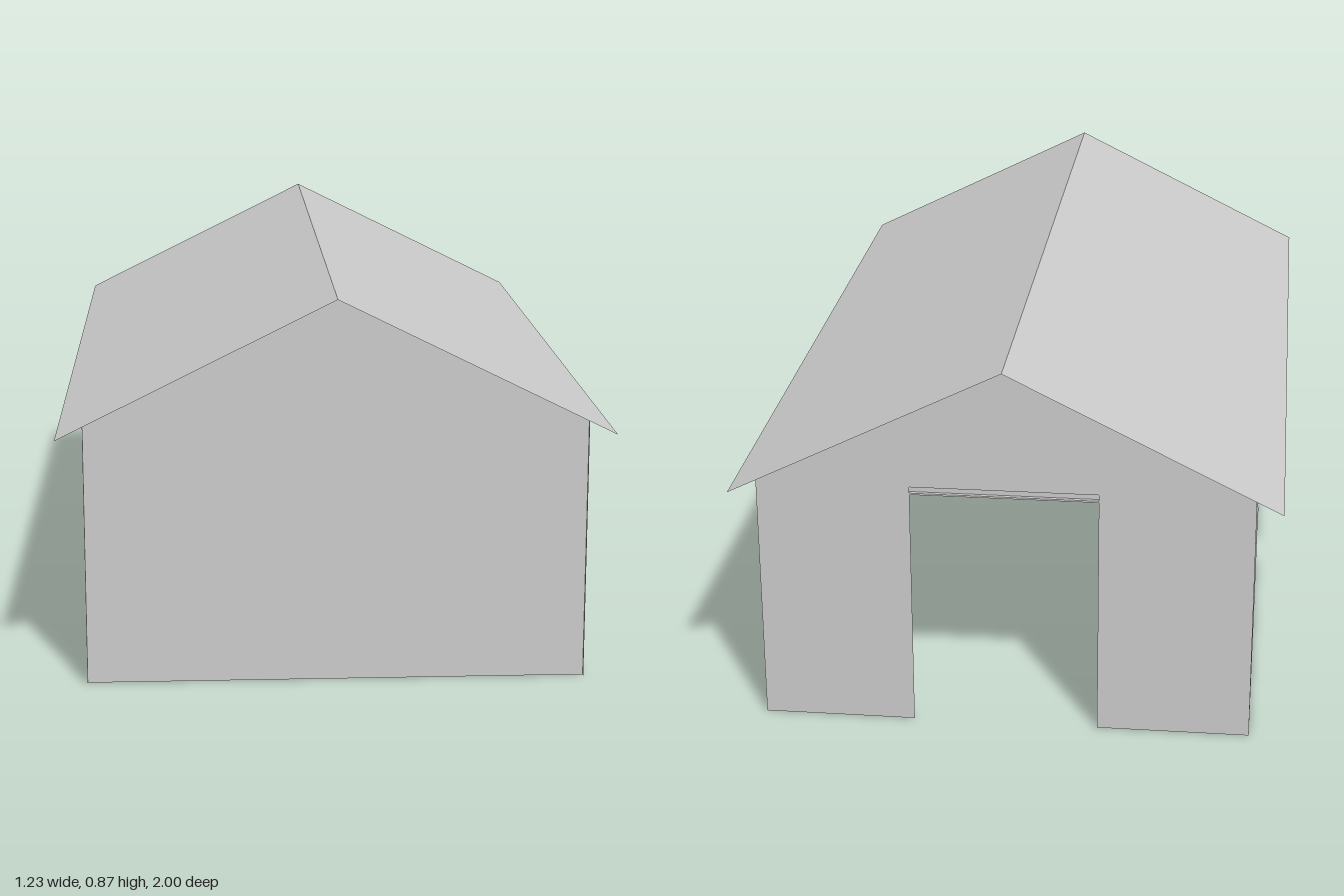
import * as THREE from 'three';

const HALF_W = 0.555, RIDGE = 0.865, SLOPE = 0.496;
const ROOF_X = 0.615, FRONT_Z = 0.975, BACK_Z = -0.975;
const EAVE = RIDGE - SLOPE * HALF_W;

const sheet = new THREE.MeshStandardMaterial({ color: 0xcccccc, side: THREE.DoubleSide });
const steel = new THREE.MeshStandardMaterial({ color: 0xcccccc, flatShading: true });

function panel(name, points) {
  const shape = new THREE.Shape(points.map(([x, y]) => new THREE.Vector2(x, y)));
  const mesh = new THREE.Mesh(new THREE.ShapeGeometry(shape), sheet);
  mesh.name = name;
  return mesh;
}

// Side wall outlined in (z, y), with a doorway notched into its foot
function sideWall(name, x, doorStart, doorEnd) {
  const wall = panel(name, [
    [BACK_Z, 0], [doorStart, 0], [doorStart, 0.285], [doorEnd, 0.285], [doorEnd, 0],
    [0.985, 0], [0.985, EAVE], [BACK_Z, EAVE],
  ]);
  wall.geometry.rotateY(-Math.PI / 2);
  wall.position.x = x;
  return wall;
}

// I-section member running between two points of a frame's plane
function beam(name, x1, y1, x2, y2) {
  const w = 0.011, h = 0.013, flange = 0.004, web = 0.002;
  const half = [[-w, -h], [w, -h], [w, -h + flange], [web, -h + flange],
    [web, h - flange], [w, h - flange], [w, h], [-w, h],
    [-w, h - flange], [-web, h - flange], [-web, -h + flange], [-w, -h + flange]];
  const shape = new THREE.Shape(half.map(([x, y]) => new THREE.Vector2(x, y)));
  const start = new THREE.Vector3(x1, y1, 0);
  const dir = new THREE.Vector3(x2, y2, 0).sub(start);
  const geometry = new THREE.ExtrudeGeometry(shape, { depth: dir.length(), bevelEnabled: false });
  dir.normalize();
  const side = new THREE.Vector3(0, 0, 1);
  const up = new THREE.Vector3().crossVectors(dir, side);
  geometry.applyMatrix4(new THREE.Matrix4().makeBasis(side, up, dir).setPosition(start));
  const mesh = new THREE.Mesh(geometry, steel);
  mesh.name = name;
  return mesh;
}

// Columns, rafters and a tie at eaves height
function portalFrame(z) {
  const frame = new THREE.Group();
  frame.name = 'portalFrame';
  const colX = HALF_W - 0.015, drop = 0.017;
  for (const s of [-1, 1]) {
    frame.add(beam('column', s * colX, 0, s * colX, EAVE - 0.005));
    frame.add(beam('rafter', s * colX, RIDGE - SLOPE * colX - drop, 0, RIDGE - drop));
  }
  frame.add(beam('tieBeam', -colX, EAVE - 0.016, colX, EAVE - 0.016));
  frame.position.z = z;
  return frame;
}

export function createModel() {
  const model = new THREE.Group();
  model.name = 'barn';

  // Closed front gable
  const front = panel('frontWall', [
    [-HALF_W, 0], [HALF_W, 0], [HALF_W, EAVE], [0, RIDGE], [-HALF_W, EAVE],
  ]);
  front.position.z = FRONT_Z;

  // Back gable with the large vehicle opening
  const back = panel('backWall', [
    [-HALF_W, 0], [-0.21, 0], [-0.21, 0.58], [0.21, 0.58], [0.21, 0],
    [HALF_W, 0], [HALF_W, EAVE], [0, RIDGE], [-HALF_W, EAVE],
  ]);
  back.position.z = BACK_Z;

  model.add(front, back);
  model.add(sideWall('leftWall', HALF_W, 0.73, 0.875));
  model.add(sideWall('rightWall', -HALF_W, -0.07, 0.07));

  // Roof sheets overhang the walls on every side
  const rise = SLOPE * ROOF_X;
  for (const s of [-1, 1]) {
    const geometry = new THREE.PlaneGeometry(Math.hypot(ROOF_X, rise), 2);
    geometry.rotateX(-Math.PI / 2);
    geometry.rotateZ(-s * Math.atan(SLOPE));
    const roof = new THREE.Mesh(geometry, sheet);
    roof.name = s > 0 ? 'leftRoof' : 'rightRoof';
    roof.position.set(s * ROOF_X / 2, RIDGE - rise / 2, 0);
    model.add(roof);
  }

  // Steel frames, with the middle pair flanking the side door
  for (const z of [0.14, 0.56, 0.962]) {
    model.add(portalFrame(z), portalFrame(-z));
  }
  return model;
}
